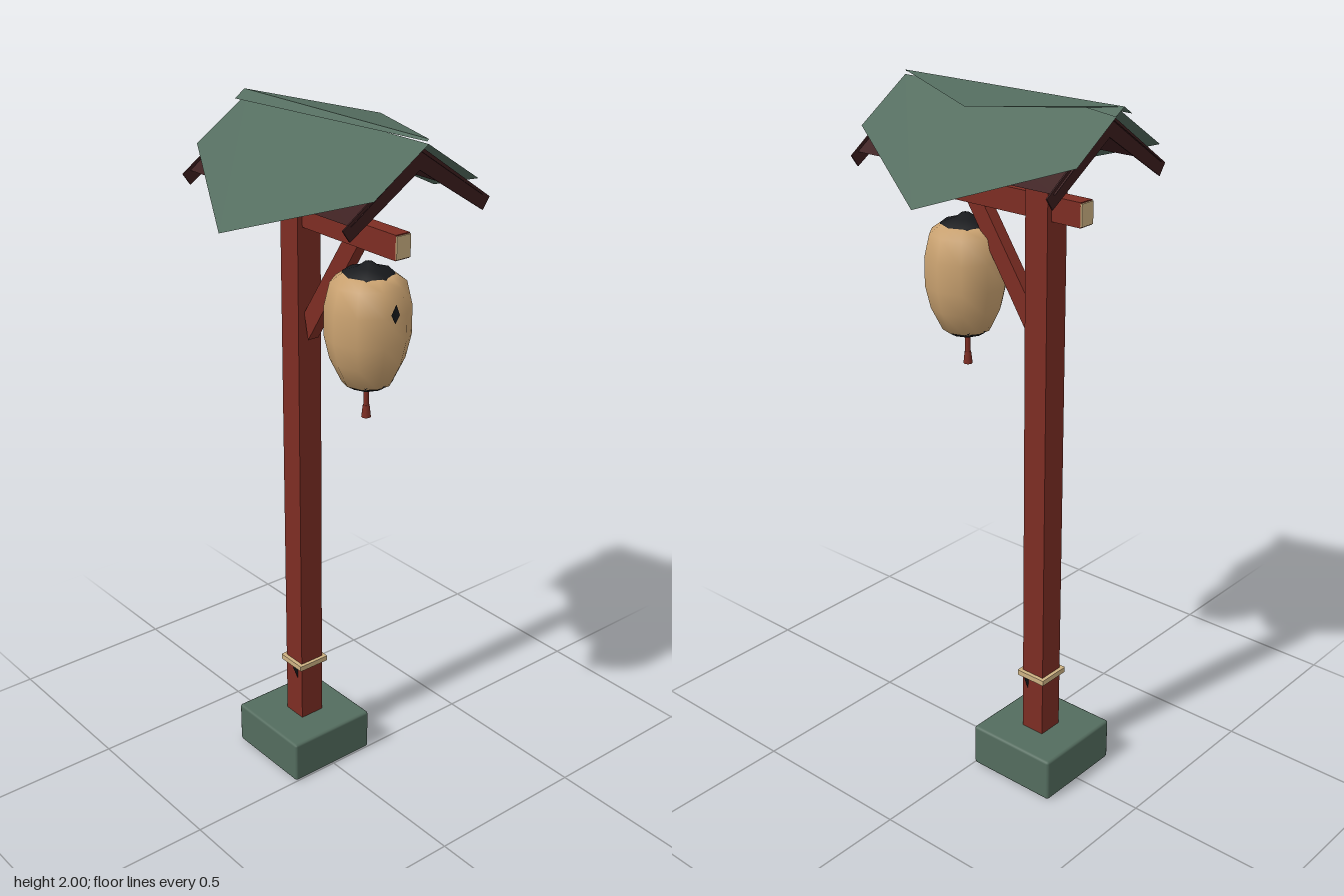
import * as THREE from 'three';
import { RoundedBoxGeometry } from 'three/addons/geometries/RoundedBoxGeometry.js';

const mat = (name, color, extra = {}) => {
  const m = new THREE.MeshStandardMaterial({ color, ...extra });
  m.name = name;
  return m;
};

export function createModel() {
  const group = new THREE.Group();
  const green = mat('slateGreen', 0x536c5e, { side: THREE.DoubleSide });
  const red = mat('redWood', 0x7d2d23);
  const maroon = mat('darkWood', 0x3c1d1e, { side: THREE.DoubleSide });
  const paper = mat('lanternPaper', 0xcba371, { side: THREE.DoubleSide });
  const cream = mat('creamRope', 0xcdb283);
  const black = mat('blackTrim', 0x17191c, { side: THREE.DoubleSide });

  const add = (name, geo, material, x = 0, y = 0, z = 0) => {
    const mesh = new THREE.Mesh(geo, material);
    mesh.name = name;
    mesh.position.set(x, y, z);
    group.add(mesh);
    return mesh;
  };
  const box = (name, w, h, d, material, x, y, z) =>
    add(name, new THREE.BoxGeometry(w, h, d), material, x, y, z);
  const shape = pts => new THREE.Shape(pts.map(p => new THREE.Vector2(...p)));
  // Flat fan sheet through a few corner points
  const sheet = (name, pts, material) => {
    const geo = new THREE.BufferGeometry();
    const tri = [];
    for (let i = 1; i < pts.length - 1; i++) tri.push(...pts[0], ...pts[i], ...pts[i + 1]);
    geo.setAttribute('position', new THREE.Float32BufferAttribute(tri, 3));
    geo.computeVertexNormals();
    return add(name, geo, material);
  };

  // Foot stone, post and cross beam
  add('footStone', new RoundedBoxGeometry(0.285, 0.13, 0.285, 1, 0.008), green, -0.1425, 0.065, 0.003);
  box('post', 0.074, 1.8, 0.078, red, -0.142, 1.03, 0);
  box('crossBeam', 0.538, 0.066, 0.046, red, -0.003, 1.718, 0);
  for (const x of [-0.274, 0.268]) box('beamEndCap', 0.005, 0.06, 0.046, cream, x, 1.718, 0);

  // Diagonal brace
  const brace = new THREE.ExtrudeGeometry(
    shape([[-0.09, 1.37], [0.115, 1.686], [0.055, 1.686], [-0.106, 1.445]]),
    { depth: 0.036, bevelEnabled: false });
  add('brace', brace, red, 0, 0, -0.018);

  // Rope binding with hanging tags
  for (const s of [-1, 1]) {
    box('ropeSide', 0.092, 0.016, 0.012, cream, -0.142, 0.316, s * 0.045);
    box('ropeEnd', 0.012, 0.016, 0.1, cream, -0.142 + s * 0.042, 0.316, 0);
    sheet('ropeTag', [[-0.125, 0.31, s * 0.036], [-0.125, 0.31, s * 0.057],
      [-0.125, 0.26, s * 0.037]], black);
  }

  // Roof sheets with pointed eaves, and the ceiling boards beneath
  for (const s of [-1, 1]) {
    const slope = z => 1.988 - 0.652 * z;
    const corner = (x, z) => [x, slope(z), s * z];
    const outline = [corner(-0.37, 0), corner(-0.37, 0.167), corner(-0.01, 0.357),
      corner(0.35, 0.168), corner(0.35, 0)];
    sheet('roofSheet', s > 0 ? outline : outline.reverse(), green);
    const under = [[-0.345, 1.966, 0], [-0.345, 1.822, s * 0.215],
      [0.325, 1.822, s * 0.215], [0.325, 1.966, 0]];
    sheet('ceilingBoard', s > 0 ? under : under.reverse(), maroon);
  }

  // Gable boards at both ends
  const gable = new THREE.ExtrudeGeometry(
    shape([[0, 1.978], [-0.238, 1.815], [-0.216, 1.784], [0, 1.92], [0.216, 1.784], [0.238, 1.815]]),
    { depth: 0.004, bevelEnabled: false });
  gable.rotateY(Math.PI / 2);
  for (const x of [-0.339, 0.318]) add('gableBoard', gable, maroon, x, 0, 0);

  // Ridge cap: narrow front strip and a wide pointed back leaf
  sheet('ridgeFront', [[-0.38, 2, 0], [-0.38, 1.978, 0.033], [0.35, 1.995, 0.005], [0.35, 2, 0]], green);
  sheet('ridgeBack', [[-0.38, 2, 0], [0.35, 2, 0], [-0.01, 1.976, -0.162],
    [-0.29, 1.99, -0.032], [-0.38, 1.98, -0.033]], green);

  // Paper lantern with trim and tassel
  const lathe = (name, pts, material, sides) =>
    add(name, new THREE.LatheGeometry(pts.map(p => new THREE.Vector2(...p)), sides), material, 0.138, 0, 0);
  lathe('lanternBody', [[0, 1.318], [0.068, 1.32], [0.1, 1.385], [0.115, 1.45],
    [0.115, 1.53], [0.1, 1.595], [0.068, 1.618], [0, 1.62]], paper, 10);
  lathe('lanternTopTrim', [[0.07, 1.608], [0.068, 1.622], [0.03, 1.634], [0.012, 1.647], [0, 1.647]], black, 8);
  lathe('lanternBottomTrim', [[0, 1.304], [0.045, 1.306], [0.064, 1.318], [0.07, 1.326]], black, 8);
  add('tasselCord', new THREE.CylinderGeometry(0.007, 0.008, 0.07, 8), red, 0.135, 1.277, 0);
  add('tasselEnd', new THREE.CylinderGeometry(0.009, 0.013, 0.035, 8), red, 0.135, 1.233, 0);
  sheet('lanternMark', [[0.256, 1.515, 0.01], [0.256, 1.535, -0.005],
    [0.253, 1.565, 0.005], [0.256, 1.54, 0.024]], black);

  return group;
}
